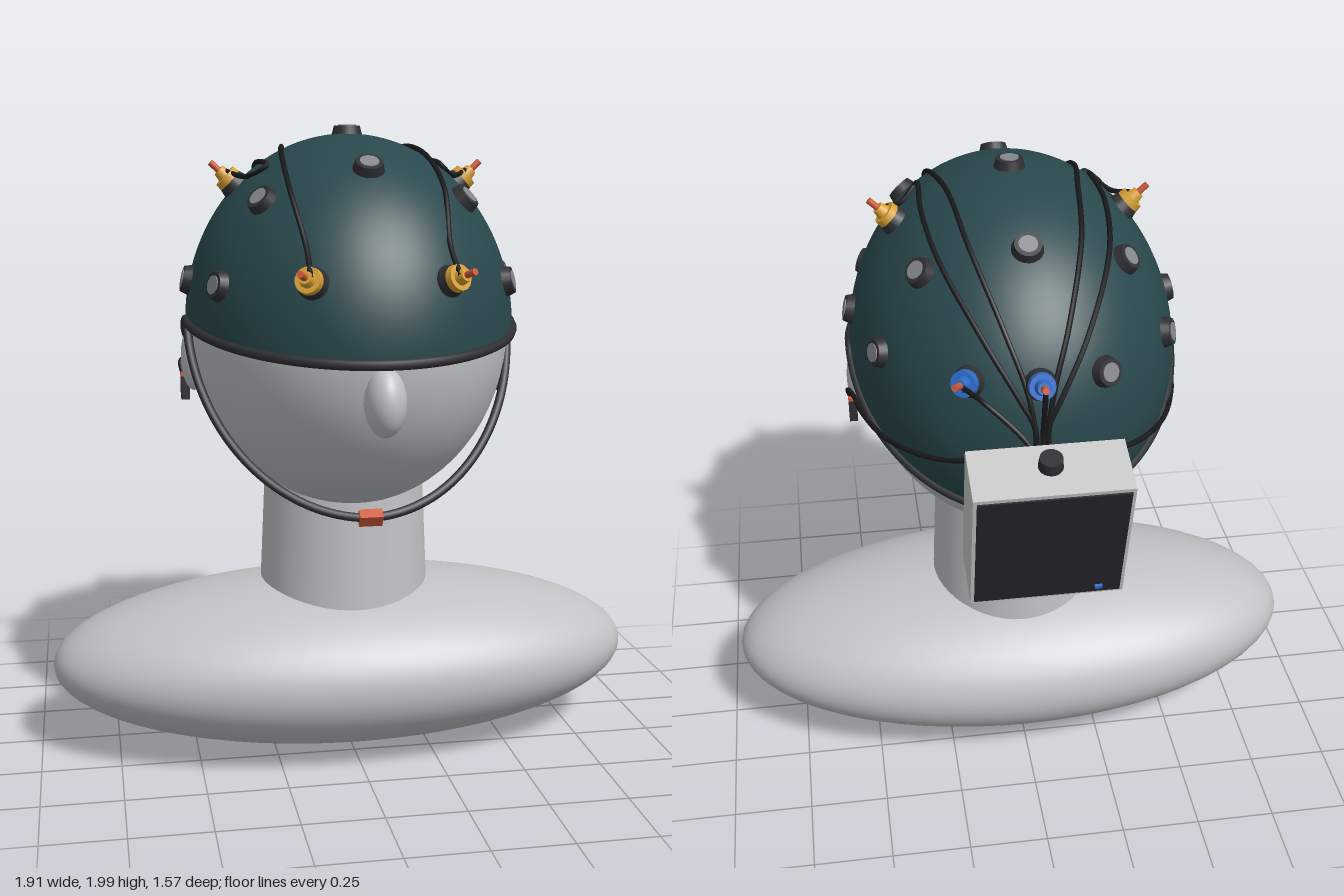
import * as THREE from 'three';

const mat = (name, color) => {
  const m = new THREE.MeshStandardMaterial({ color });
  m.name = name;
  return m;
};

const CENTRE = new THREE.Vector3(0, 1.385, 0.1);
const CAP = new THREE.Vector3(0.508, 0.585, 0.64);
const V = (x, y, z) => new THREE.Vector3(x, y, z);

// Height of the cap's lower edge: highest at the ears, low at the nape
const rimY = z => (z > 0.1 ? 1.405 - 0.095 * (z - 0.1) : 1.405 - 0.54 * (0.1 - z));

// Point on the cap for an azimuth and polar angle
const capPoint = (az, t) => V(Math.sin(az) * Math.sin(t), Math.cos(t), Math.cos(az) * Math.sin(t)).multiply(CAP).add(CENTRE);

// Polar angle at which the cap meets its edge
function rimAngle(az) {
  let lo = 0.5, hi = 2.8;
  for (let i = 0; i < 30; i++) {
    const mid = (lo + hi) / 2, p = capPoint(az, mid);
    if (p.y > rimY(p.z)) lo = mid; else hi = mid;
  }
  return lo;
}

// Push a point radially onto the cap surface, scaled by k
function onCap(p, k = 1) {
  const d = p.clone().sub(CENTRE).divide(CAP).normalize();
  return d.multiplyScalar(k).multiply(CAP).add(CENTRE);
}

export function createModel() {
  const root = new THREE.Group();
  root.name = 'electrodeCapOnHead';
  const grey = mat('mannequin grey', 0xc0c2c4);
  const green = mat('cap green', 0x29484d);
  const dark = mat('dark rubber', 0x2f2f34);
  const cable = mat('cable black', 0x19191c);
  const discGrey = mat('disc grey', 0x84888d);
  const yellow = mat('electrode yellow', 0xd9a235);
  const blue = mat('electrode blue', 0x2f6cc8);
  const red = mat('red', 0xcf5838);
  const caseGrey = mat('case grey', 0xc8c8c8);
  const panelDark = mat('panel dark', 0x26252c);
  green.side = THREE.DoubleSide;

  const add = (name, geo, m, pos, parent = root) => {
    const mesh = new THREE.Mesh(geo, m);
    mesh.name = name;
    if (pos) mesh.position.copy(pos);
    parent.add(mesh);
    return mesh;
  };
  const ellipsoid = (name, pos, rx, ry, rz) =>
    add(name, new THREE.SphereGeometry(1, 56, 36).scale(rx, ry, rz), grey, pos);
  const tube = (name, pts, r, m, closed = false, n = 64) =>
    add(name, new THREE.TubeGeometry(new THREE.CatmullRomCurve3(pts, closed, 'centripetal'), n, r, 8, closed), m);

  // Mannequin
  ellipsoid('shoulders', V(0, 0.279, 0.04), 0.955, 0.275, 0.46);
  add('neck', new THREE.CylinderGeometry(0.252, 0.28, 0.6, 48), grey, V(0, 0.7, 0.04));
  ellipsoid('head', CENTRE, 0.494, 0.572, 0.622);
  ellipsoid('nose', V(0, 1.235, 0.71), 0.06, 0.1, 0.08);
  for (const s of [1, -1]) ellipsoid('ear', V(s * 0.485, 1.285, 0.09), 0.04, 0.105, 0.06);

  // Cap shell: rings from the crown to the edge
  const SEG = 96, ROWS = 28, pos = [], nor = [], idx = [];
  for (let i = 0; i <= SEG; i++) {
    const az = (i / SEG) * Math.PI * 2, end = rimAngle(az);
    for (let j = 0; j <= ROWS; j++) {
      const p = capPoint(az, (end * j) / ROWS);
      pos.push(p.x, p.y, p.z);
      const n = p.sub(CENTRE).divide(CAP).divide(CAP).normalize();
      nor.push(n.x, n.y, n.z);
      if (i < SEG && j < ROWS) {
        const a = i * (ROWS + 1) + j, b = a + ROWS + 1;
        idx.push(a, a + 1, b, b, a + 1, b + 1);
      }
    }
  }
  const capGeo = new THREE.BufferGeometry();
  capGeo.setAttribute('position', new THREE.Float32BufferAttribute(pos, 3));
  capGeo.setAttribute('normal', new THREE.Float32BufferAttribute(nor, 3));
  capGeo.setIndex(idx);
  add('capShell', capGeo, green);

  // Cap edge binding
  const rim = [];
  for (let i = 0; i < 96; i++) {
    const az = (i / 96) * Math.PI * 2;
    rim.push(capPoint(az, rimAngle(az)));
  }
  tube('capEdge', rim, 0.015, dark, true, 192);

  // Chin strap and buckle
  const strap = [];
  for (let i = 0; i <= 24; i++) {
    const a = (i / 24) * Math.PI, s = Math.sin(a);
    strap.push(V(0.507 * Math.cos(a), 1.395 - 0.545 * s, 0.13 + 0.375 * s - 0.02 * Math.sin(2 * Math.asin(Math.min(1, s)))));
  }
  tube('chinStrap', strap, 0.014, dark, false, 96);
  const buckle = add('chinBuckle', new THREE.BoxGeometry(0.07, 0.04, 0.034), red, V(0, 0.85, 0.505));
  buckle.rotation.x = 0.6;

  // Electrode holders, some fitted with a coloured electrode and pin
  function electrode(x, y, z, colour) {
    const g = new THREE.Group();
    g.name = colour ? 'fittedElectrode' : 'electrodeHolder';
    g.position.copy(onCap(V(x, y, z)));
    const n = g.position.clone().sub(CENTRE).divide(CAP).divide(CAP).normalize();
    g.quaternion.setFromUnitVectors(V(0, 1, 0), n);
    const cyl = (name, r1, r2, y0, y1, m) =>
      add(name, new THREE.CylinderGeometry(r1, r2, y1 - y0, 20), m, V(0, (y0 + y1) / 2, 0), g);
    cyl('holderRing', 0.04, 0.05, -0.012, 0.024, dark);
    if (colour) {
      cyl('electrodeBody', 0.038, 0.04, 0.024, 0.045, colour);
      cyl('electrodeNeck', 0.018, 0.024, 0.045, 0.07, colour);
      cyl('electrodePin', 0.01, 0.01, 0.07, 0.105, red);
    } else {
      cyl('holderDisc', 0.028, 0.028, 0.02, 0.027, discGrey);
    }
    root.add(g);
  }
  electrode(0, 1.97, 0.1);
  electrode(0, 1.88, 0.46);
  electrode(0, 1.88, -0.27);
  electrode(0, 1.57, -0.51, blue);
  for (const s of [1, -1]) {
    electrode(s * 0.2, 1.57, 0.67, yellow);
    electrode(s * 0.44, 1.54, 0.41);
    electrode(s * 0.505, 1.53, 0.1);
    electrode(s * 0.44, 1.54, -0.21);
    electrode(s * 0.2, 1.57, -0.47, s > 0 ? blue : null);
    electrode(s * 0.3, 1.78, 0.39);
    electrode(s * 0.345, 1.81, 0.1, yellow);
    electrode(s * 0.3, 1.78, -0.19);
  }

  // Cables over the crown, gathered at the nape, and cables to the ear clips
  for (const s of [1, -1]) {
    const over = pts => pts.map(([x, y, z]) => onCap(V(s * x, y, z), 1.012));
    const tail = [V(s * 0.02, 1.45, -0.545), V(s * 0.015, 1.38, -0.56), V(0, 1.34, -0.6)];
    tube('frontCable', [V(s * 0.21, 1.585, 0.715), ...over([[0.205, 1.66, 0.61], [0.22, 1.8, 0.43],
      [0.21, 1.89, 0.2], [0.19, 1.92, 0.02], [0.16, 1.86, -0.22], [0.09, 1.7, -0.43], [0.04, 1.56, -0.52]]), ...tail], 0.008, cable);
    tube('sideCable', [V(s * 0.385, 1.86, 0.1), ...over([[0.32, 1.84, 0.17], [0.268, 1.87, 0.235], [0.265, 1.88, 0.2],
      [0.27, 1.87, 0.02], [0.235, 1.8, -0.2], [0.14, 1.66, -0.42], [0.06, 1.53, -0.52]]), ...tail], 0.008, cable);
    const around = [[0.5, 1.27, 0.0], [0.48, 1.27, -0.08], [0.4, 1.28, -0.26], [0.27, 1.31, -0.43], [0.12, 1.35, -0.52]]
      .map(([x, y, z]) => onCap(V(s * x, y, z), 1.03));
    tube('earCable', [V(s * 0.515, 1.22, 0.07), V(s * 0.525, 1.262, 0.058), ...around, V(0, 1.36, -0.6)], 0.008, cable);
    add('earClip', new THREE.BoxGeometry(0.026, 0.075, 0.045), dark, V(s * 0.512, 1.187, 0.07));
    add('earClipTop', new THREE.BoxGeometry(0.028, 0.012, 0.046), red, V(s * 0.512, 1.23, 0.07));
  }
  // Short leads from the rear electrodes
  tube('rearCable', [V(0, 1.6, -0.6), V(0, 1.52, -0.585), V(0, 1.42, -0.565), V(0, 1.34, -0.6)], 0.008, cable);
  tube('rearSideCable', [V(0.225, 1.6, -0.54), onCap(V(0.16, 1.52, -0.48), 1.02), V(0.05, 1.42, -0.56), V(0, 1.34, -0.6)], 0.008, cable);

  // Amplifier box behind the head, leaning back
  const amp = new THREE.Group();
  amp.name = 'amplifier';
  amp.position.set(0, 1.183, -0.632);
  amp.rotation.x = -0.262;
  root.add(amp);
  add('amplifierCase', new THREE.BoxGeometry(0.452, 0.46, 0.185), caseGrey, null, amp);
  add('backPanel', new THREE.BoxGeometry(0.43, 0.435, 0.008), panelDark, V(0, 0, -0.094), amp);
  add('statusLight', new THREE.BoxGeometry(0.022, 0.012, 0.014), blue, V(-0.15, -0.19, -0.1), amp);
  add('knobStem', new THREE.CylinderGeometry(0.018, 0.018, 0.03, 16), dark, V(0, 0.24, 0), amp);
  add('knob', new THREE.CylinderGeometry(0.033, 0.036, 0.035, 20), dark, V(0, 0.262, 0), amp);
  const socket = add('cableSocket', new THREE.CylinderGeometry(0.018, 0.018, 0.03, 16), dark, V(0, 0.17, 0.1), amp);
  socket.rotation.x = Math.PI / 2;
  add('powerSwitch', new THREE.BoxGeometry(0.016, 0.045, 0.03), dark, V(-0.23, 0.03, 0), amp);
  add('sidePort', new THREE.BoxGeometry(0.01, 0.03, 0.03), panelDark, V(-0.228, -0.03, 0), amp);
  return root;
}
